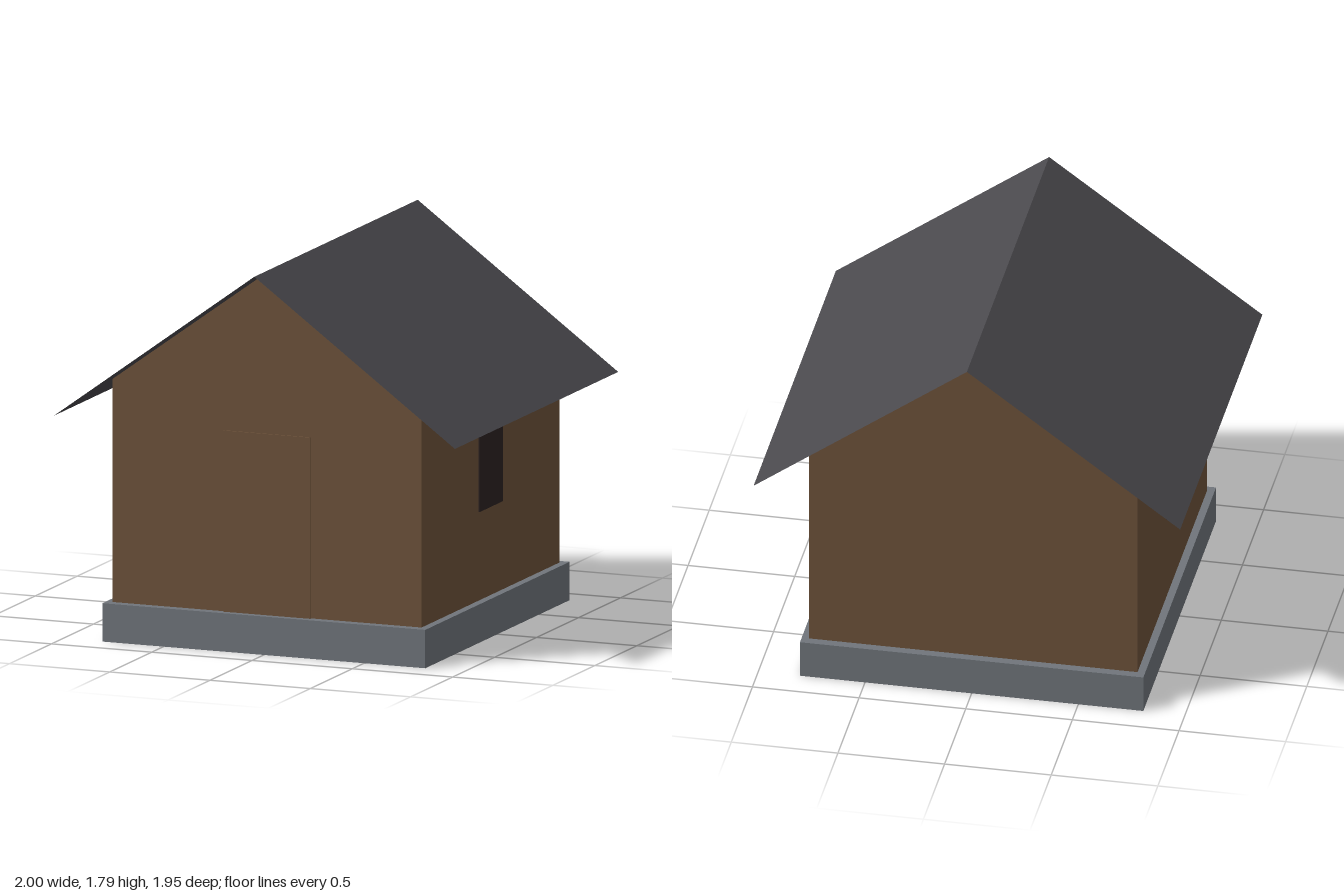
import * as THREE from 'three';

const mat = (name, color, side = THREE.FrontSide) => {
  const m = new THREE.MeshStandardMaterial({ color, side });
  m.name = name;
  return m;
};

export function createModel() {
  const house = new THREE.Group();
  house.name = 'cabin';

  const stone = mat('stone grey', 0x70757b, THREE.DoubleSide);
  const wood = mat('wood brown', 0x6d523a);
  const slate = mat('slate roof', 0x4a494d, THREE.DoubleSide);
  const glass = mat('dark glass', 0x2c2222);

  const add = (name, geometry, material, x = 0, y = 0, z = 0) => {
    const mesh = new THREE.Mesh(geometry, material);
    mesh.name = name;
    mesh.position.set(x, y, z);
    house.add(mesh);
    return mesh;
  };

  // Hollow plinth: a box without its underside (fourth face)
  const plinth = new THREE.BoxGeometry(1.61, 0.18, 1.72);
  plinth.setIndex([...plinth.index.array].filter((_, i) => i < 18 || i >= 24));
  plinth.clearGroups();
  add('foundation', plinth, stone, 0, 0.09, 0);

  // Gabled wall block
  const gable = new THREE.Shape();
  gable.moveTo(-0.77, 0.181);
  gable.lineTo(0.77, 0.181);
  gable.lineTo(0.77, 1.228);
  gable.lineTo(0, 1.788);
  gable.lineTo(-0.77, 1.228);
  gable.closePath();
  const walls = new THREE.ExtrudeGeometry(gable, { depth: 1.64, bevelEnabled: false });
  add('walls', walls, wood, 0, 0, -0.82);

  // Door plate, running down behind the plinth face
  add('door', new THREE.BoxGeometry(0.434, 0.98, 0.008), wood, 0, 0.54, 0.823);

  for (const [side, s] of [['left', 1], ['right', -1]]) {
    // Side window
    add(`${side}Window`, new THREE.BoxGeometry(0.008, 0.357, 0.28), glass, s * 0.771, 0.775, 0);

    // Sheet-thin roof slope from ridge to eave
    const slope = new THREE.PlaneGeometry(Math.hypot(1, 0.73), 1.945);
    slope.rotateX(-Math.PI / 2);
    slope.rotateZ(-s * Math.atan(0.73));
    add(`${side}RoofSlope`, slope, slate, s * 0.5, 1.43, 0);
  }

  return house;
}
